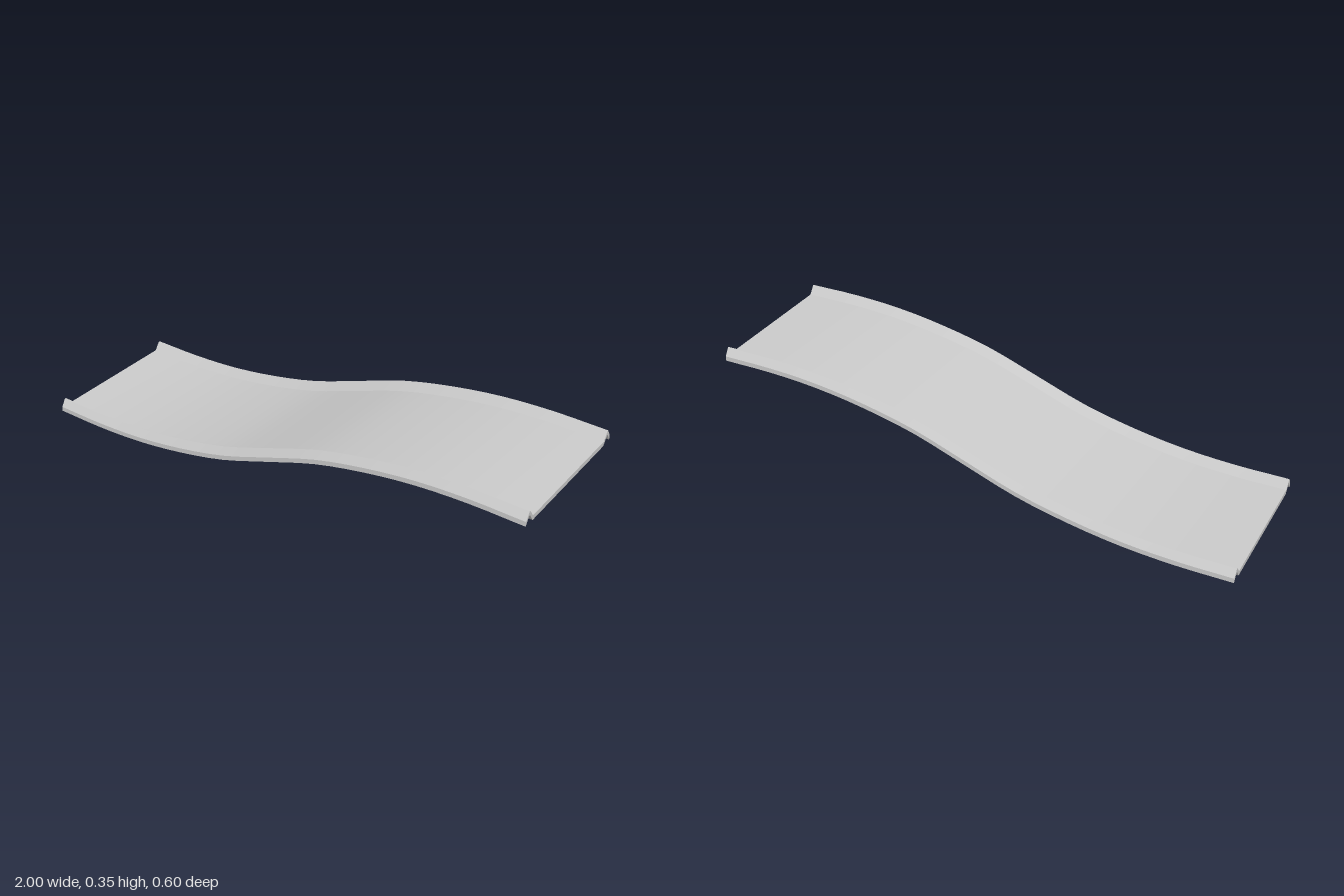
import * as THREE from 'three';
import { toCreasedNormals } from 'three/addons/utils/BufferGeometryUtils.js';

// Half of the folded sheet section: [distance from the middle, height]
const TOP = [[0.254, 0.018], [0.277, 0.049], [0.281, 0.049], [0.3, 0.02]];
const BOTTOM = [[0.3, 0.002], [0.282, 0.031], [0.276, 0.031], [0.254, 0]];

// Height of the underside at even steps along x
const RISE = [0.003, 0.0, 0.01, 0.038, 0.083, 0.152, 0.221, 0.266, 0.294, 0.304, 0.301];

export function createModel() {
  const group = new THREE.Group();
  group.name = 'curvedSlide';

  // Closed section: top from left to right, then the underside back again
  const mirror = (pts) => pts.map(([x, y]) => [-x, y]).reverse();
  const outline = [...mirror(TOP), ...TOP, ...BOTTOM, ...mirror(BOTTOM)];
  const section = new THREE.Shape(outline.map(([x, y]) => new THREE.Vector2(x, y)));

  // Straight sheet along x
  const sheet = new THREE.ExtrudeGeometry(section, { depth: 2, steps: 30, bevelEnabled: false });
  sheet.translate(0, 0, -1);
  sheet.rotateY(Math.PI / 2);

  // Bend it into the S-shaped slope
  const slope = new THREE.SplineCurve(RISE.map((y, i) => new THREE.Vector2(i / 5 - 1, y)));
  const pos = sheet.attributes.position;
  for (let i = 0; i < pos.count; i++) {
    const t = THREE.MathUtils.clamp((pos.getX(i) + 1) / 2, 0, 1);
    pos.setY(i, pos.getY(i) + slope.getPoint(t).y);
  }

  const mesh = new THREE.Mesh(
    toCreasedNormals(sheet, 0.4),
    new THREE.MeshStandardMaterial({ color: 0xcccccc })
  );
  mesh.name = 'slideBedWithFoldedRims';
  group.add(mesh);
  return group;
}
